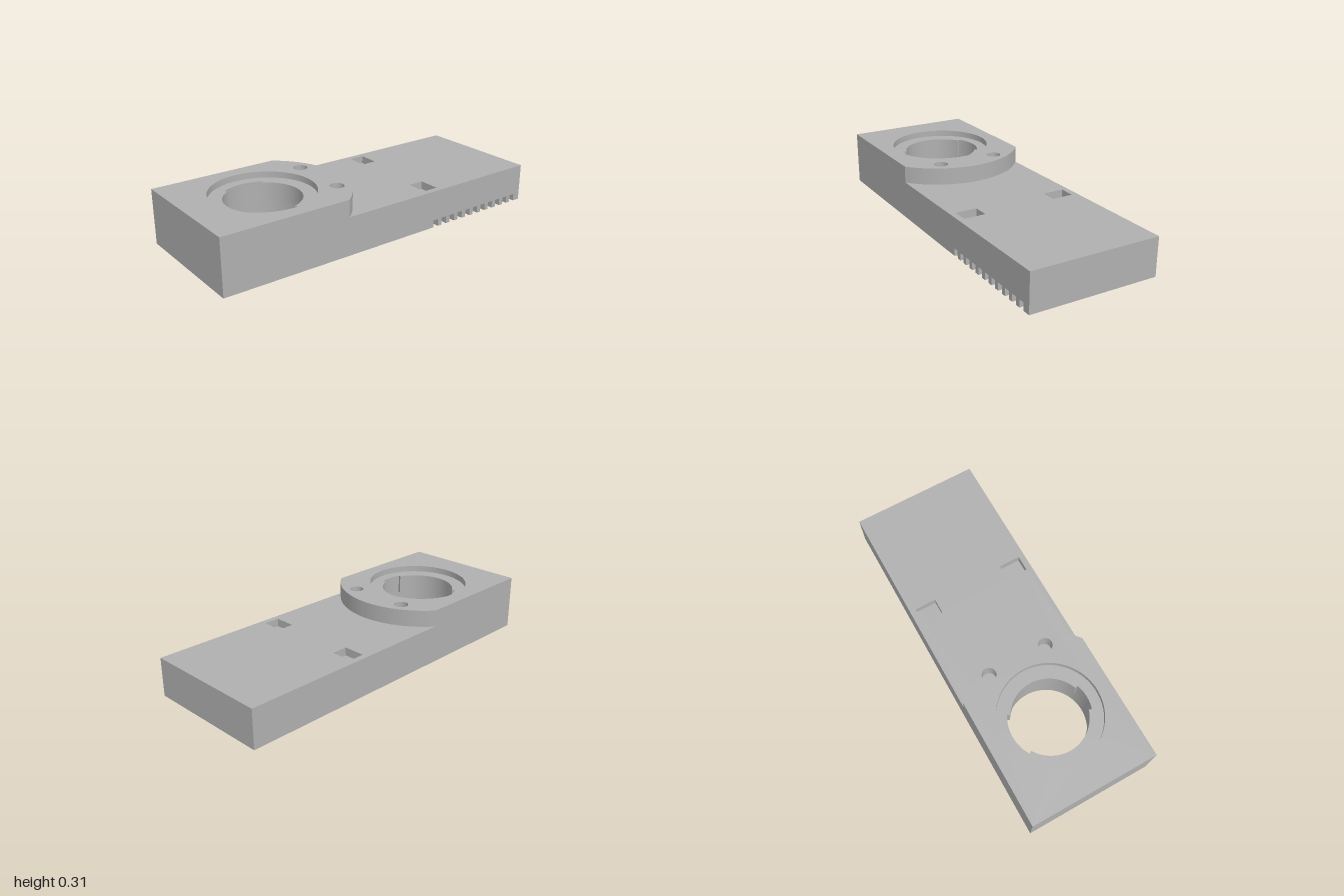
import * as THREE from 'three';
import { toCreasedNormals } from 'three/addons/utils/BufferGeometryUtils.js';

const W = 0.365, L = 1, WALL = 0.062;
const CZ = 0.555;                       // centre of the round socket along z
const BORE = 0.224, LIP = 0.207;
// heights of the horizontal levels
const SLOT = 0.042, CEILING = 0.08, LIP_Y = 0.17, DECK = 0.215, SEAT = 0.275, TOP = 0.31;

// Plans are drawn in x and -z, then raised along y.
const rect = (x0, x1, z0, z1, Type = THREE.Shape) => {
  const p = new Type();
  p.moveTo(x0, -z1);
  p.lineTo(x1, -z1);
  p.lineTo(x1, -z0);
  p.lineTo(x0, -z0);
  p.closePath();
  return p;
};

const circle = (x, z, r, Type = THREE.Path) => {
  const p = new Type();
  p.absarc(x, -z, r, 0, Math.PI * 2, false);
  return p;
};

// socket opening with a wide notch at -x and a narrow notch at +x
function notchedHole() {
  const p = new THREE.Path(), a = 0.33, b = 0.55, PI = Math.PI;
  p.absarc(0, -CZ, BORE, -a, a, false);
  p.absarc(0, -CZ, LIP, a, PI - b, false);
  p.absarc(0, -CZ, BORE, PI - b, PI + b, false);
  p.absarc(0, -CZ, LIP, PI + b, 2 * PI - a, false);
  p.closePath();
  return p;
}

// raised block with a rounded back edge
function raisedPlan() {
  const r = 0.46, a = Math.acos(W / r), s = new THREE.Shape();
  s.moveTo(-W, -L);
  s.lineTo(W, -L);
  s.absarc(0, -CZ, r, a, Math.PI - a, false);
  s.closePath();
  return s;
}

export function createModel() {
  const model = new THREE.Group();
  const grey = new THREE.MeshStandardMaterial({ color: 0xb0b0b0 });
  grey.name = 'grey';

  function layer(name, shape, y0, y1, holes = []) {
    shape.holes.push(...holes);
    const g = new THREE.ExtrudeGeometry(shape, { depth: y1 - y0, bevelEnabled: false, curveSegments: 48 });
    g.rotateX(-Math.PI / 2);
    g.translate(0, y0, 0);
    const mesh = new THREE.Mesh(toCreasedNormals(g, 0.5), grey);
    mesh.name = name;
    model.add(mesh);
  }

  // bottom rim, open along the comb on the +x wall
  const pitch = 0.0615, slot = 0.034, count = 11;
  const combStart = -0.955, combEnd = combStart + (count - 1) * pitch + slot;
  const ix = W - WALL, iz = L - WALL;
  const rim = new THREE.Shape([
    [W, -L], [W, -combEnd], [ix, -combEnd], [ix, -iz], [-ix, -iz], [-ix, iz],
    [ix, iz], [ix, -combStart], [W, -combStart], [W, L], [-W, L], [-W, -L],
  ].map(([x, y]) => new THREE.Vector2(x, y)));
  // the slots start slightly past the inner face of the back wall
  rim.curves.length = 0;
  rim.setFromPoints([
    [W, -L], [W, -combEnd], [ix, -combEnd], [ix, -iz], [-ix, -iz], [-ix, iz],
    [ix, iz], [ix, -combStart], [W, -combStart], [W, L], [-W, L], [-W, -L],
  ].map(([x, y]) => new THREE.Vector2(x, y)));
  layer('bottomRim', rim, 0, SLOT);

  // comb teeth between the slots
  for (let i = 0; i < count - 1; i++) {
    const z = combStart + i * pitch + slot;
    layer('combTooth', rect(ix, W, z, z + pitch - slot), 0, SLOT);
  }

  // walls above the comb
  layer('walls', rect(-W, W, -L, L), SLOT, CEILING, [rect(-ix, ix, -iz, iz, THREE.Path)]);

  // socket collar hanging under the ceiling
  layer('socketCollar', circle(0, CZ, 0.287, THREE.Shape), 0, CEILING, [circle(0, CZ, BORE)]);

  // solid deck, with two rectangular pockets in its upper part
  layer('deckBase', rect(-W, W, -L, L), CEILING, LIP_Y, [circle(0, CZ, BORE)]);
  const pockets = [-1, 1].map((s) => rect(s * 0.27 - 0.061, s * 0.27 + 0.061, -0.35, -0.26, THREE.Path));
  layer('deckTop', rect(-W, W, -L, L), LIP_Y, DECK, [notchedHole(), ...pockets]);

  // raised block with two round blind holes and a shallow round seat
  const pins = () => [-1, 1].map((s) => circle(s * 0.172, 0.21, 0.039));
  layer('raisedBlock', raisedPlan(), DECK, SEAT, [notchedHole(), ...pins()]);
  layer('raisedBlockTop', raisedPlan(), SEAT, TOP, [circle(0, CZ, 0.283), ...pins()]);

  return model;
}
